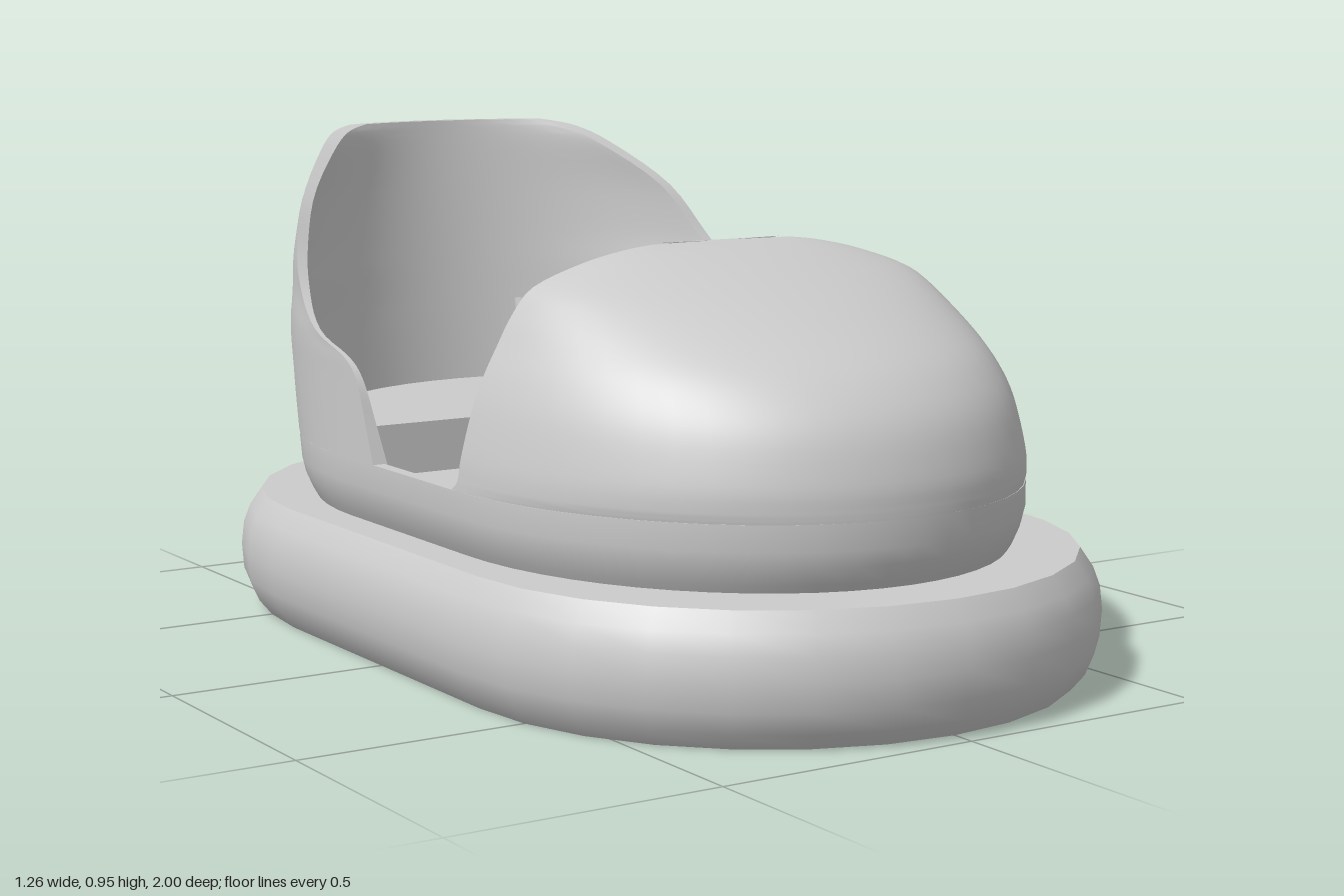
import * as THREE from 'three';
import { toCreasedNormals } from 'three/addons/utils/BufferGeometryUtils.js';

const N = 28; // segments per half outline

// Surface through rows of [x, y, z] points, facing outwards for rows that climb.
function grid(rows, closed = false, crease = 0.6) {
  const n = rows[0].length, pos = rows.flat(2), idx = [];
  for (let i = 0; i < rows.length - 1; i++) {
    for (let j = 0; j < (closed ? n : n - 1); j++) {
      const k = (j + 1) % n;
      const a = i * n + j, b = i * n + k, c = a + n, d = b + n;
      idx.push(a, c, d, a, d, b);
    }
  }
  const g = new THREE.BufferGeometry();
  g.setAttribute('position', new THREE.Float32BufferAttribute(pos, 3));
  g.setIndex(idx);
  return toCreasedNormals(g, crease);
}

// Half ellipse at height y, bulging from z0 to its end at zb, cut off at zf
// (or extended straight when zf lies before z0).
function arc(y, a, zb, z0, zf = z0, n = N) {
  const dir = Math.sign(zb - z0) || 1, len = zb - z0;
  const q = Math.abs(len) < 1e-6 ? 0 : Math.min(1, (zf - z0) / len);
  const s0 = q < 0 ? q : Math.asin(q);
  const row = [];
  for (let j = 0; j <= n; j++) {
    const s = s0 + (Math.PI - 2 * s0) * j / n;
    const t = Math.min(Math.PI, Math.max(0, s));
    const z = s < 0 ? s : s > Math.PI ? Math.PI - s : Math.sin(t);
    row.push([dir * a * Math.cos(t), y, z0 + len * z]);
  }
  return row;
}

// Closed rounded outline: a front arc followed by a rear arc.
const ring = (y, a, front, rear, zf, zr, n) =>
  [...arc(y, a, front, zf, zf, n), ...arc(y, a, rear, zr, zr, n)];

// Smoothly resample levels of [y, halfWidth, end, edge, centre].
function refine(levels, count) {
  const c1 = new THREE.CatmullRomCurve3(
    levels.map(l => new THREE.Vector3(l[0], l[1], l[2])), false, 'catmullrom', 0.5);
  const c2 = new THREE.CatmullRomCurve3(
    levels.map(l => new THREE.Vector3(l[0], l[3], l[4])), false, 'catmullrom', 0.5);
  return Array.from({ length: count + 1 }, (_, i) => {
    const p = c1.getPoint(i / count), q = c2.getPoint(i / count);
    return [p.x, p.y, p.z, q.y, q.z];
  });
}

// Thick open shell: outer skin with its rim, plus inner lining.
function shell(name, levels, inner, material) {
  const fine = refine(levels, 40);
  const y0 = fine[0][0], y1 = fine[fine.length - 1][0];
  const make = ([y, a, zb, zf, z0]) => arc(y, a, zb, z0, zf);
  const G = fine.map(make);
  const H = fine.map(l => make(inner(l, (l[0] - y0) / (y1 - y0))));
  const wrap = (row, h) => [h[0], ...row, h[h.length - 1]];
  const outer = G.map((row, i) => wrap(row, H[i]));
  const top = H[H.length - 1];
  outer.push(wrap(top, top));
  const group = new THREE.Group();
  group.name = name;
  const skin = new THREE.Mesh(grid(outer), material);
  skin.name = name + 'Skin';
  const lining = new THREE.Mesh(grid(H.map(r => [...r].reverse())), material);
  lining.name = name + 'Lining';
  group.add(skin, lining);
  return group;
}

export function createModel() {
  const model = new THREE.Group();
  const mat = new THREE.MeshStandardMaterial({ color: 0xcccccc, side: THREE.DoubleSide });
  const add = (name, geometry) => {
    const m = new THREE.Mesh(geometry, mat);
    m.name = name;
    model.add(m);
    return m;
  };

  // Bumper: rounded band with flat underside and top ledge, [inset, y]
  const band = [[0.63, 0], [0.045, 0], [0.02, 0.03], [0.004, 0.07], [0, 0.12],
    [0.005, 0.165], [0.018, 0.2], [0.042, 0.235], [0.2, 0.235]];
  add('bumper', grid(band.map(([d, y]) =>
    ring(y, 0.63 - d, 1 - d, d - 1, 0.37, -0.37, 14)), true));

  // Tub: lower body wall, over the rim and down inside, [inset, y, extra rear]
  const tub = [[0.035, 0.225, 0], [0.02, 0.25, 0], [0.007, 0.28, 0], [0, 0.31, 0],
    [0, 0.357, 0.022], [0.025, 0.357, 0.022], [0.025, 0.29, 0]];
  add('tub', grid(tub.map(([d, y, r]) =>
    ring(y, 0.545 - d, 0.86 - d, -0.86 - r + d, 0.21, -0.25)), true));

  // Floor pan
  add('floor', grid([ring(0.3, 0.53, 0.845, -0.845, 0.21, -0.25),
    ring(0.3, 0, 0.21, -0.25, 0.21, -0.25)], true));

  // Hood: levels of [y, halfWidth, nose, rear edge, centre]
  const hood = [[0.355, 0.545, 0.86, 0.2], [0.375, 0.543, 0.86, 0.221], [0.42, 0.538, 0.856, 0.227],
    [0.5, 0.52, 0.83, 0.234], [0.56, 0.499, 0.785, 0.239], [0.61, 0.475, 0.72, 0.243],
    [0.67, 0.442, 0.6, 0.246], [0.715, 0.4, 0.49, 0.248], [0.75, 0.305, 0.39, 0.249],
    [0.77, 0.215, 0.315, 0.25], [0.78, 0.13, 0.25, 0.25]].map(l => [...l, l[3]]);
  model.add(shell('hood', hood, ([y, a, zb, zf, z0], k) =>
    [y - 0.025 * k, a - 0.025, Math.max(zb - 0.025, z0), zf, z0], mat));

  // Seat back: levels of [y, halfWidth, back, front edge, centre]
  const back = [[0.355, 0.545, -0.882, -0.1], [0.43, 0.545, -0.912, -0.13], [0.51, 0.545, -0.935, -0.165],
    [0.55, 0.545, -0.942, -0.22], [0.585, 0.543, -0.947, -0.35], [0.64, 0.536, -0.95, -0.46],
    [0.71, 0.532, -0.948, -0.53], [0.81, 0.512, -0.938, -0.6], [0.9, 0.478, -0.913, -0.7],
    [0.935, 0.48, -0.892, -0.755], [0.95, 0.5, -0.87, -0.8]].map(l => [...l, -0.25]);
  model.add(shell('seatBack', back, ([y, a, , zf, z0], k) =>
    [y, a - 0.03 + 0.06 * k, -0.755 - 0.085 * k, zf, z0], mat));

  // Seat bench with its front riser
  add('seat', grid([arc(0.3, 0.52, -0.8, -0.27), arc(0.4, 0.52, -0.8, -0.27),
    arc(0.4, 0, -0.27, -0.27).map(([, y, z]) => [0, y, z])], true));

  // Pair of leaning control levers
  for (const side of [-1, 1]) {
    const lever = add(side > 0 ? 'leverLeft' : 'leverRight',
      new THREE.CylinderGeometry(0.013, 0.013, 0.38, 12));
    lever.position.set(side * 0.26, 0.475, 0.002);
    lever.rotation.x = -0.226;
  }
  return model;
}
